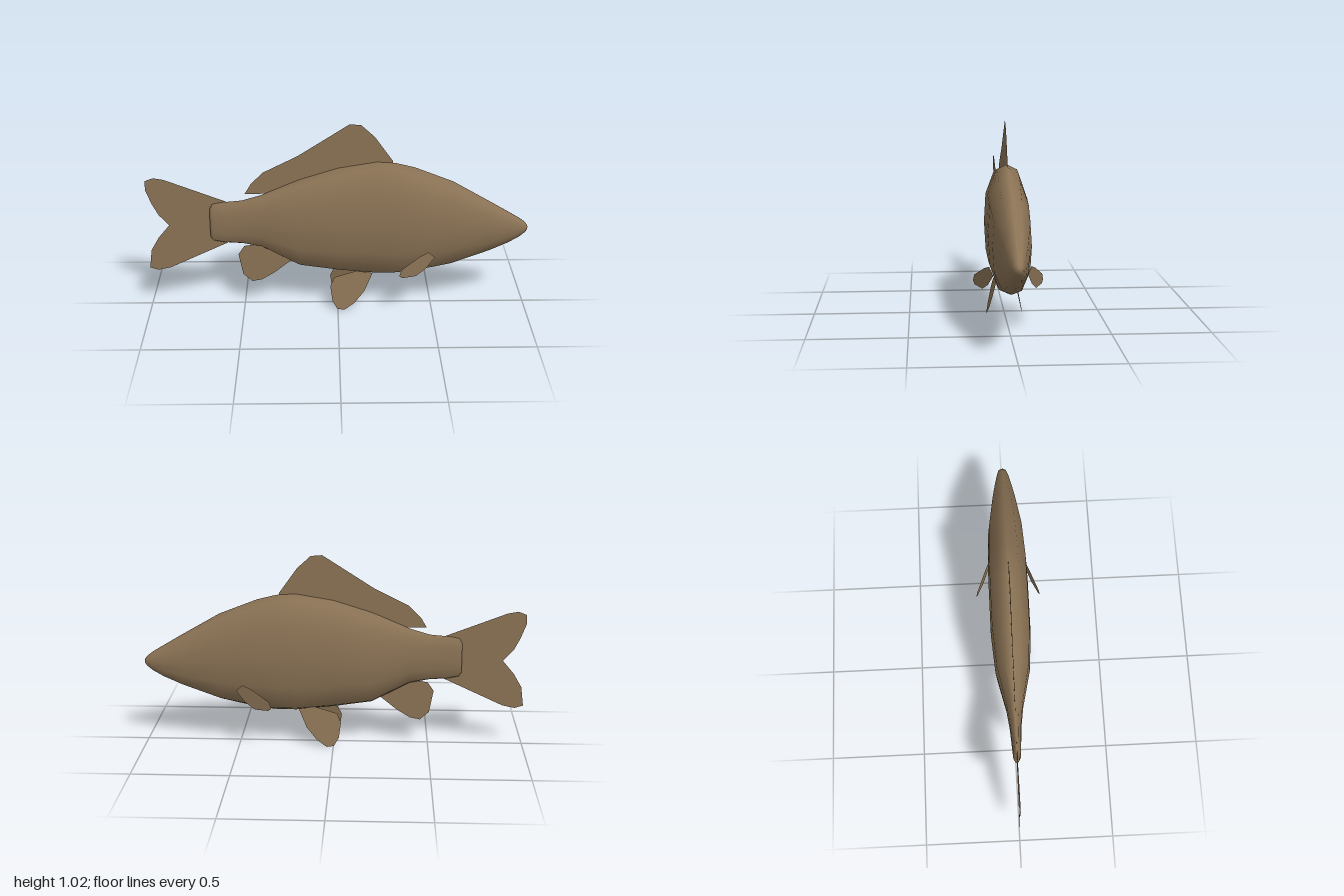
import * as THREE from 'three';

const brown = new THREE.MeshStandardMaterial({ color: 0x8b7355, side: THREE.DoubleSide });
brown.name = 'olive brown';

// Body stations: x, belly y, back y, half width
const stations = [
  [-0.67, 0.40, 0.56, 0.012], [-0.655, 0.38, 0.588, 0.02], [-0.6, 0.369, 0.598, 0.024],
  [-0.5, 0.362, 0.607, 0.031], [-0.4, 0.342, 0.637, 0.045], [-0.2, 0.235, 0.722, 0.09],
  [0, 0.205, 0.785, 0.105], [0.2, 0.183, 0.818, 0.105], [0.3, 0.184, 0.812, 0.105],
  [0.4, 0.195, 0.787, 0.104], [0.6, 0.24, 0.708, 0.094], [0.8, 0.315, 0.592, 0.065],
  [0.9, 0.36, 0.532, 0.046], [0.96, 0.395, 0.495, 0.032], [0.99, 0.42, 0.471, 0.022], [1.0, 0.435, 0.457, 0.01],
];

// Lofts a twelve-sided, slightly squared oval through the stations
function bodyGeometry() {
  const SIDES = 12, pos = [], idx = [];
  const quarter = [[0, 1], [0.5, 0.92], [0.92, 0.51], [1, 0]];
  const oval = [...quarter, ...[2, 1, 0].map(i => [quarter[i][0], -quarter[i][1]])];
  for (let i = 5; i > 0; i--) oval.push([-oval[i][0], oval[i][1]]);
  for (const [x, lo, hi, w] of stations)
    for (const [u, v] of oval) pos.push(x, (lo + hi) / 2 + v * (hi - lo) / 2, u * w);
  const last = stations.length - 1;
  for (let i = 0; i < last; i++)
    for (let j = 0; j < SIDES; j++) {
      const a = i * SIDES + j, b = i * SIDES + (j + 1) % SIDES;
      idx.push(a, b, a + SIDES, b, b + SIDES, a + SIDES);
    }
  // Close the tail stump and the snout
  const tail = pos.length / 3, nose = tail + 1;
  for (const s of [stations[0], stations[last]]) pos.push(s[0], (s[1] + s[2]) / 2, 0);
  for (let j = 0; j < SIDES; j++) {
    const k = (j + 1) % SIDES;
    idx.push(tail, k, j, nose, last * SIDES + j, last * SIDES + k);
  }
  const g = new THREE.BufferGeometry();
  g.setAttribute('position', new THREE.Float32BufferAttribute(pos, 3));
  g.setIndex(idx);
  g.computeVertexNormals();
  return g;
}

// Flat fin from a side outline, leaned outward by the rule z(x, y)
function fin(name, outline, z = () => 0) {
  const g = new THREE.ShapeGeometry(new THREE.Shape(outline.map(p => new THREE.Vector2(...p))));
  const p = g.attributes.position;
  for (let i = 0; i < p.count; i++) p.setZ(i, z(p.getX(i), p.getY(i)));
  g.computeVertexNormals();
  const m = new THREE.Mesh(g, brown);
  m.name = name;
  return m;
}

export function createModel() {
  const fish = new THREE.Group();
  fish.name = 'fish';
  const body = new THREE.Mesh(bodyGeometry(), brown);
  body.name = 'body';
  fish.add(body);

  // Fins on the centre line
  fish.add(fin('tailFin', [
    [-0.58, 0.6], [-0.9, 0.725], [-0.955, 0.735], [-0.997, 0.719], [-1, 0.67], [-0.97, 0.59],
    [-0.938, 0.527], [-0.885, 0.468], [-0.944, 0.398], [-0.987, 0.324], [-1, 0.222],
    [-0.955, 0.208], [-0.89, 0.222], [-0.58, 0.366]]));
  fish.add(fin('dorsalFin', [
    [-0.484, 0.644], [-0.452, 0.698], [-0.388, 0.762], [-0.206, 0.853], [0.061, 1.024],
    [0.12, 1.019], [0.19, 0.955], [0.286, 0.821], [0.27, 0.77], [0, 0.74], [-0.2, 0.68], [-0.36, 0.645]]));
  fish.add(fin('analFin', [
    [-0.495, 0.345], [-0.527, 0.297], [-0.505, 0.179], [-0.457, 0.136], [-0.404, 0.147],
    [-0.334, 0.19], [-0.249, 0.259], [-0.23, 0.3], [-0.4, 0.36]]));

  // Paired fins, mirrored left and right of the body
  for (const [side, s] of [['left', -1], ['right', 1]]) {
    fish.add(fin(side + 'PelvicFin', [
      [-0.019, 0.184], [-0.04, 0.136], [-0.029, 0.056], [-0.003, 0.013], [0.035, 0.008],
      [0.088, 0.045], [0.142, 0.11], [0.184, 0.206], [0.099, 0.217]],
    (x, y) => s * (0.052 + (0.205 - y) * 0.21)));
    fish.add(fin(side + 'PectoralFin', [
      [0.473, 0.35], [0.425, 0.334], [0.329, 0.281], [0.318, 0.249], [0.334, 0.233],
      [0.409, 0.227], [0.463, 0.259], [0.511, 0.313]],
    x => s * (0.1 + (0.48 - x) * 0.47)));
  }
  return fish;
}
